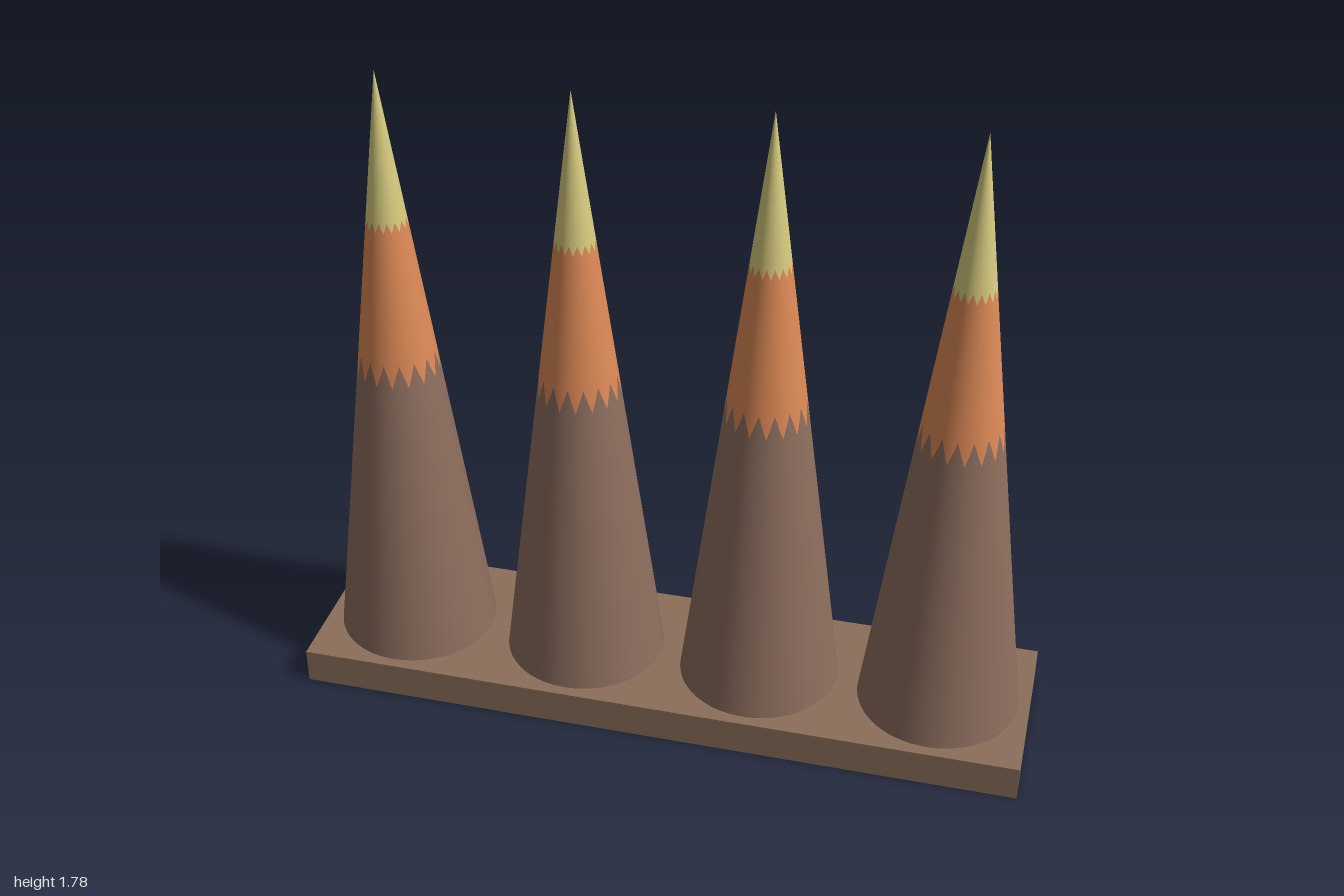
import * as THREE from 'three';

const BASE_Y = 0.1, TIP_Y = 1.78, RADIUS = 0.22, TEETH = 16, SEGMENTS = 64;
const radiusAt = (y) => RADIUS * (TIP_Y - y) / (TIP_Y - BASE_Y);

// Triangle wave, 1 at each tooth peak and -1 between teeth
function zigzag(angle) {
  const t = (angle * TEETH / (2 * Math.PI)) % 1;
  return 4 * Math.abs(t - 0.5) - 1;
}

// One coloured section of the cone, with toothed edges of the given heights
function coneBand(y0, y1, tooth0, tooth1) {
  const geo = new THREE.CylinderGeometry(radiusAt(y1), radiusAt(y0), y1 - y0, SEGMENTS, 1, true);
  geo.translate(0, (y0 + y1) / 2, 0);
  const pos = geo.attributes.position;
  for (let i = 0; i < pos.count; i++) {
    const upper = i <= SEGMENTS;
    const angle = (i % (SEGMENTS + 1)) / SEGMENTS * 2 * Math.PI;
    const y = (upper ? y1 : y0) + (upper ? tooth1 : tooth0) * zigzag(angle);
    const r = radiusAt(y);
    pos.setXYZ(i, r * Math.sin(angle), y, r * Math.cos(angle));
  }
  return geo;
}

export function createModel() {
  const model = new THREE.Group();
  const paint = (color) => new THREE.MeshStandardMaterial({ color, side: THREE.DoubleSide });
  const add = (parent, name, geometry, material) => {
    const mesh = new THREE.Mesh(geometry, material);
    mesh.name = name;
    parent.add(mesh);
    return mesh;
  };

  // Flat plate under the row
  add(model, 'basePlate', new THREE.BoxGeometry(2, BASE_Y, 0.5), paint(0x8b6f5a))
    .position.y = BASE_Y / 2;

  // Sections shared by all the cones: name, geometry, colour
  const sections = [
    ['coneBody', coneBand(BASE_Y, 0.96, 0, 0.033), paint(0x8d6e5e)],
    ['coneMiddle', coneBand(0.96, 1.37, 0.033, 0.014), paint(0xdd8a57)],
    ['coneTip', coneBand(1.37, TIP_Y, 0.014, 0), paint(0xd8cc80)],
  ];

  // Row of four cones
  for (let i = 0; i < 4; i++) {
    const cone = new THREE.Group();
    cone.name = `cone${i + 1}`;
    cone.position.x = -0.75 + i * 0.5;
    for (const [name, geometry, material] of sections) add(cone, name, geometry, material);
    model.add(cone);
  }
  return model;
}
